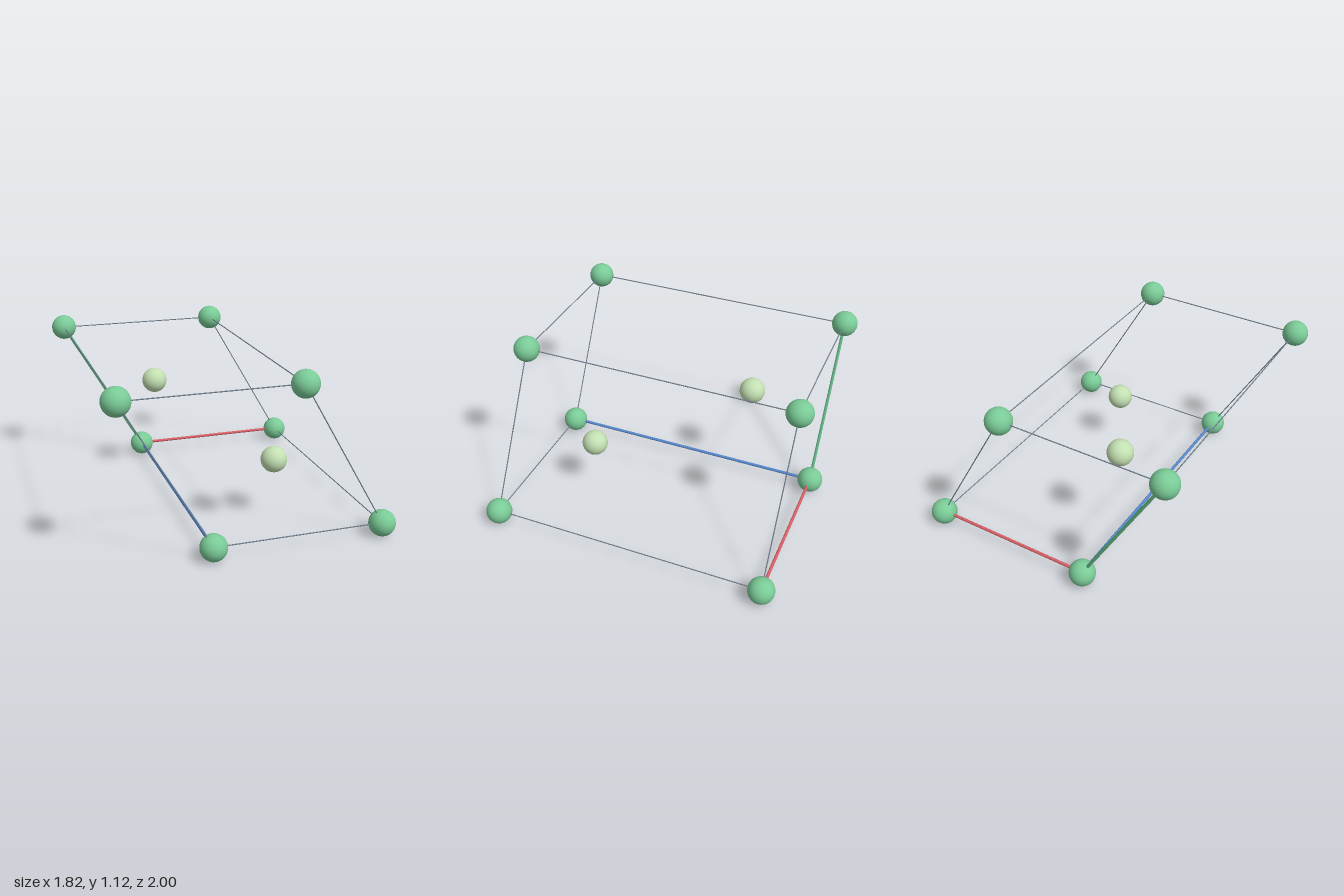
import * as THREE from 'three';

const material = (name, color) => {
  const m = new THREE.MeshStandardMaterial({ color });
  m.name = name;
  return m;
};

export function createModel() {
  const model = new THREE.Group();
  model.name = 'hexagonalUnitCell';

  const cornerGreen = material('cornerGreen', 0x7acb97);
  const paleGreen = material('paleGreen', 0xc3e0b2);
  const frameSlate = material('frameSlate', 0x6f7d8c);
  const axisRed = material('axisRed', 0xd65f66);
  const axisGreen = material('axisGreen', 0x62b584);
  const axisBlue = material('axisBlue', 0x5688cc);

  // Cell vectors of the slanted prism
  const origin = new THREE.Vector3(-0.275, 0.085, -0.915);
  const a = new THREE.Vector3(1.1, 0, 0);
  const b = new THREE.Vector3(-0.55, 0.953, 0);
  const c = new THREE.Vector3(0, 0, 1.83);
  const at = (u, v, w) =>
    origin.clone().addScaledVector(a, u).addScaledVector(b, v).addScaledVector(c, w);

  const ball = new THREE.SphereGeometry(0.085, 32, 20);
  const addAtom = (name, position, mat) => {
    const atom = new THREE.Mesh(ball, mat);
    atom.name = name;
    atom.position.copy(position);
    model.add(atom);
  };

  const up = new THREE.Vector3(0, 1, 0);
  const addRod = (name, from, to, radius, mat) => {
    const dir = to.clone().sub(from);
    const rod = new THREE.Mesh(new THREE.CylinderGeometry(radius, radius, dir.length(), 12), mat);
    rod.name = name;
    rod.position.copy(from).addScaledVector(dir, 0.5);
    rod.quaternion.setFromUnitVectors(up, dir.normalize());
    model.add(rod);
  };

  // Eight corner atoms
  for (const u of [0, 1]) for (const v of [0, 1]) for (const w of [0, 1]) {
    addAtom('cornerAtom', at(u, v, w), cornerGreen);
  }

  // Two atoms inside the cell
  addAtom('innerAtomBack', at(1 / 3, 2 / 3, 0.25), paleGreen);
  addAtom('innerAtomFront', at(2 / 3, 1 / 3, 0.75), paleGreen);

  // Twelve edges: the three at the origin are thicker coloured axes
  const axes = [['axisA', axisRed], ['axisB', axisGreen], ['axisC', axisBlue]];
  axes.forEach(([axisName, axisMat], k) => {
    for (const i of [0, 1]) for (const j of [0, 1]) {
      const start = [i, j];
      start.splice(k, 0, 0);
      const end = [i, j];
      end.splice(k, 0, 1);
      const isAxis = i + j === 0;
      addRod(isAxis ? axisName : 'cellEdge', at(...start), at(...end),
        isAxis ? 0.01 : 0.0035, isAxis ? axisMat : frameSlate);
    }
  });

  return model;
}
